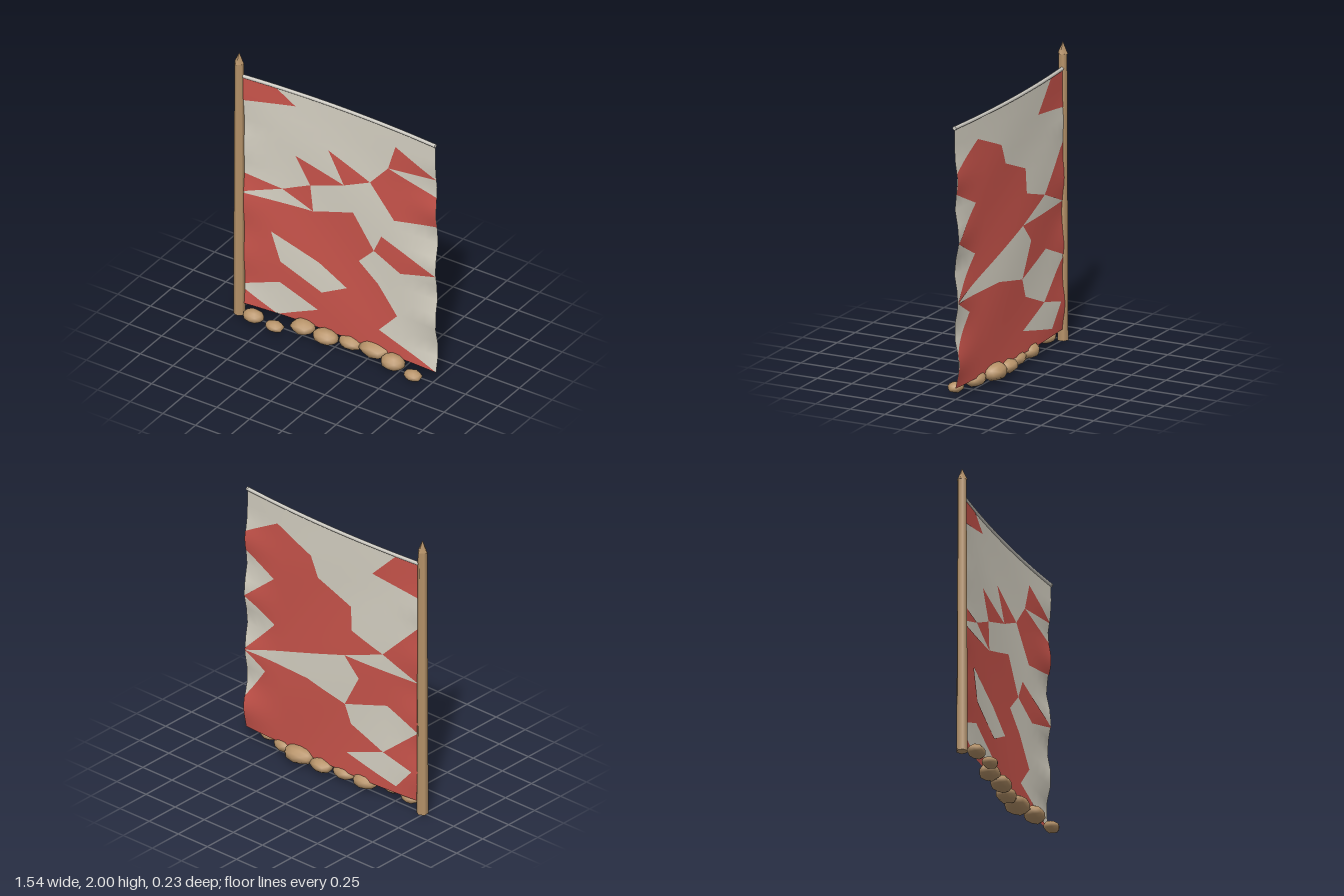
import * as THREE from 'three';
import { mergeVertices } from 'three/addons/utils/BufferGeometryUtils.js';

const mat = (name, color, side = THREE.FrontSide) => {
  const m = new THREE.MeshStandardMaterial({ color, side });
  m.name = name;
  return m;
};

const X0 = -0.71, X1 = 0.77, Y0 = 0.08, Y1 = 1.82;

// Bow of the crossbar, and the rippled cloth hanging below it
const bow = (x) => -0.004 - 0.032 * (1 - Math.pow(Math.abs(x) / 0.74, 2));
function clothZ(x, y) {
  const hang = THREE.MathUtils.smoothstep(Y1 - y, 0, 0.5);
  const right = Math.max(0, (x - 0.4) / 0.37) ** 2;
  const left = Math.max(0, (-0.4 - x) / 0.31) ** 2;
  const fold = 0.5 + 0.5 * Math.cos((y - 1.08) * Math.PI * 2 / 0.42);
  return bow(x) + hang * (0.004 * Math.sin(x * 5 + y * 6) - 0.03 * right * fold - 0.012 * left * fold);
}

// Split every triangle in four so a flat patch can follow the cloth
function subdivide(tris, times) {
  for (let k = 0; k < times; k++) {
    const out = [];
    for (const [a, b, c] of tris) {
      const mid = (p, q) => [(p[0] + q[0]) / 2, (p[1] + q[1]) / 2];
      const ab = mid(a, b), bc = mid(b, c), ca = mid(c, a);
      out.push([a, ab, ca], [ab, b, bc], [ca, bc, c], [ab, bc, ca]);
    }
    tris = out;
  }
  return tris;
}

// Drape an outline (with optional holes) over the front (+1) or back (-1) of the cloth
function drape(outline, holes, dir, lift) {
  const path = (pts) => pts.map(([x, y]) => new THREE.Vector2(x, y));
  const shape = new THREE.Shape(path(outline));
  shape.holes = holes.map((h) => new THREE.Path(path(h)));
  const flat = new THREE.ShapeGeometry(shape);
  const p = flat.attributes.position, idx = flat.index.array, tris = [];
  for (let i = 0; i < idx.length; i += 3)
    tris.push([0, 1, 2].map((k) => [p.getX(idx[i + k]), p.getY(idx[i + k])]));
  const pos = [], nor = [], e = 0.01;
  for (const t of subdivide(tris, 4))
    for (const [x, y] of dir > 0 ? t : [t[0], t[2], t[1]]) {
      pos.push(x, y, clothZ(x, y) + dir * lift);
      const n = new THREE.Vector3(
        (clothZ(x - e, y) - clothZ(x + e, y)) / (2 * e),
        (clothZ(x, y - e) - clothZ(x, y + e)) / (2 * e), 1).normalize().multiplyScalar(dir);
      nor.push(n.x, n.y, n.z);
    }
  const g = new THREE.BufferGeometry();
  g.setAttribute('position', new THREE.Float32BufferAttribute(pos, 3));
  g.setAttribute('normal', new THREE.Float32BufferAttribute(nor, 3));
  return g;
}

// Red patches on the front: [outline, ...holes]
const FRONT = [
  [[[X0, 1.81], [-0.46, 1.81], [-0.32, 1.72], [X0, 1.64]]],
  [[[X0, 1.08], [-0.42, 1.05], [X0, 0.94]]],
  [[[-0.42, 1.05], [-0.21, 1.15], [-0.19, 0.955]]],
  [[[-0.32, 1.34], [0.05, 1.245], [-0.21, 1.15]]],
  [[[-0.07, 1.47], [0.25, 1.34], [0.05, 1.245]]],
  [[[0.25, 1.34], [0.39, 1.5], [X1, 1.415], [X1, 1.19], [0.44, 1.12]]],
  [[[0.45, 1.69], [X1, 1.555], [0.39, 1.5]]],
  [[[0.34, 0.96], [X1, 0.815], [0.49, 0.73], [0.28, 0.825]]],
  [[[X0, 0.93], [-0.19, 0.955], [0.12, 1.06], [0.28, 0.825], [0.16, 0.7], [0.31, 0.58], [0.46, 0.39],
    [0.32, 0.235], [X1, 0.08], [-0.45, 0.08], [-0.15, 0.215], [-0.44, 0.33], [X0, 0.225]],
  [[-0.5, 0.7], [-0.14, 0.58], [0.07, 0.46], [-0.12, 0.36], [-0.43, 0.49]]],
  [[[X0, 0.08], [-0.46, 0.08], [X0, 0.19]]],
];

// Red patches on the back
const BACK = [
  [[X1, 1.52], [0.49, 1.68], [0.19, 1.56], [0.13, 1.42], [-0.15, 1.31], [-0.16, 1.14], [-0.42, 1.06],
    [-0.1, 0.94], [0.32, 0.8], [X1, 0.65], [X1, 0.66], [0.52, 0.92], [X1, 1.05], [0.52, 1.26], [X1, 1.38]],
  [[-0.42, 1.06], [X0, 1.35], [X0, 0.94]],
  [[-0.1, 0.94], [X0, 0.94], [X0, 0.58], [-0.45, 0.69], [-0.1, 0.58], [-0.22, 0.81]],
  [[X1, 0.65], [0.22, 0.65], [-0.1, 0.58], [-0.15, 0.45], [-0.42, 0.34], [-0.11, 0.23], [-0.53, 0.13],
    [-0.6, 0.08], [X1, 0.08], [X1, 0.31], [0.6, 0.55]],
  [[-0.42, 0.34], [X0, 0.58], [X0, 0.08], [-0.6, 0.08], [-0.53, 0.13], [-0.66, 0.28]],
  [[X0, 1.81], [-0.52, 1.81], [-0.33, 1.62], [X0, 1.57]],
];

// Faceted stone outline with softened shading
function stoneGeometry(seed) {
  const g = new THREE.IcosahedronGeometry(1, 1);
  g.deleteAttribute('normal');
  g.deleteAttribute('uv');
  const m = mergeVertices(g, 1e-3), p = m.attributes.position;
  for (let i = 0; i < p.count; i++) {
    const s = 0.96 + 0.06 * Math.sin(i * 7.3 + seed * 2.1);
    p.setXYZ(i, p.getX(i) * s, p.getY(i) * s, p.getZ(i) * s);
  }
  m.computeVertexNormals();
  return m;
}

export function createModel() {
  const root = new THREE.Group();
  root.name = 'banner';
  const wood = mat('tan wood', 0xb8946a);
  const cream = mat('cream cloth', 0xd8d3c5);
  const red = mat('red cloth', 0xcb554c);
  const bar = mat('pale bar', 0xcfccc4);
  const add = (name, geo, material, x = 0, y = 0, z = 0, parent = root) => {
    const mesh = new THREE.Mesh(geo, material);
    mesh.name = name;
    mesh.position.set(x, y, z);
    parent.add(mesh);
    return mesh;
  };

  // Pole with a pointed cap
  add('pole', new THREE.CylinderGeometry(0.031, 0.039, 1.92, 6), wood, -0.733, 0.96, 0);
  add('poleTip', new THREE.ConeGeometry(0.037, 0.08, 4).toNonIndexed(), wood, -0.733, 1.96, 0);

  // Bowed crossbar with end caps
  const pts = [];
  for (let i = 0; i <= 8; i++) {
    const x = -0.73 + i * 1.495 / 8;
    pts.push(new THREE.Vector3(x, 1.823, bow(x)));
  }
  add('crossbar', new THREE.TubeGeometry(new THREE.CatmullRomCurve3(pts), 24, 0.0125, 8), bar);
  add('crossbarEnd', new THREE.CylinderGeometry(0.014, 0.014, 0.012, 8).rotateZ(Math.PI / 2), bar, 0.764, 1.823, bow(0.765));

  // Cloth, one sheet per side
  const sheet = [[X0, Y0], [X1, Y0], [X1, Y1], [X0, Y1]];
  add('clothFront', drape(sheet, [], 1, 0.001), cream);
  add('clothBack', drape(sheet, [], -1, 0.001), cream);

  // Red patches
  const patches = new THREE.Group();
  patches.name = 'redPatches';
  root.add(patches);
  FRONT.forEach(([o, ...h]) => add('frontPatch', drape(o, h, 1, 0.004), red, 0, 0, 0, patches));
  BACK.forEach((o) => add('backPatch', drape(o, [], -1, 0.004), red, 0, 0, 0, patches));

  // Row of stones: x, z, half width, half depth, top height
  const stones = new THREE.Group();
  stones.name = 'stones';
  root.add(stones);
  [[-0.595, 0.045, 0.08, 0.06, 0.095], [-0.42, 0.065, 0.068, 0.052, 0.08],
    [-0.25, -0.01, 0.09, 0.072, 0.115], [-0.07, 0, 0.1, 0.07, 0.108],
    [0.1, -0.035, 0.09, 0.067, 0.103], [0.285, -0.04, 0.118, 0.085, 0.13],
    [0.455, 0.015, 0.092, 0.072, 0.115], [0.635, 0.058, 0.066, 0.052, 0.082],
  ].forEach(([x, z, rx, rz, top], i) => {
    const s = add('stone', stoneGeometry(i), wood, x, (top + 0.008) / 2, z, stones);
    s.scale.set(rx, (top - 0.008) / 2, rz);
  });
  return root;
}
